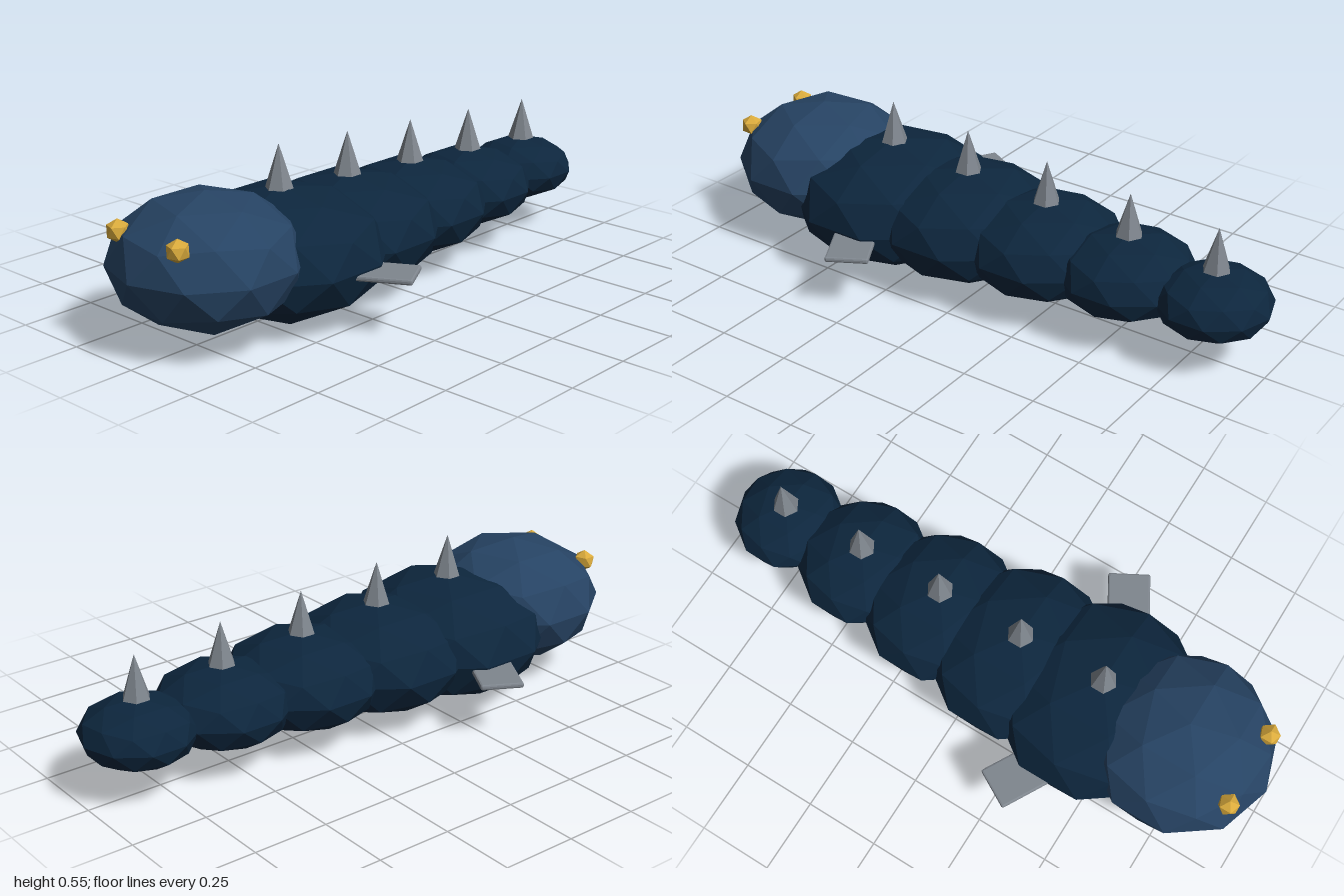
import * as THREE from 'three';
import { RoundedBoxGeometry } from 'three/addons/geometries/RoundedBoxGeometry.js';

const flat = (name, color) => {
  const m = new THREE.MeshStandardMaterial({ color, flatShading: true });
  m.name = name;
  return m;
};

// Icosphere turned so that one of its corners is the top pole
function icoBall(detail, rx, ry, rz) {
  const g = new THREE.IcosahedronGeometry(1, detail);
  g.rotateZ(-Math.atan(2 / (1 + Math.sqrt(5))));
  g.scale(rx, ry, rz);
  return g;
}

export function createModel() {
  const group = new THREE.Group();
  const headBlue = flat('headBlue', 0x264363);
  const bodyNavy = flat('bodyNavy', 0x0d263d);
  const boneGrey = flat('boneGrey', 0x7f868e);
  const eyeGold = flat('eyeGold', 0xd9aa3c);

  const add = (name, geometry, material, x, y, z) => {
    const mesh = new THREE.Mesh(geometry, material);
    mesh.name = name;
    mesh.position.set(x, y, z);
    group.add(mesh);
    return mesh;
  };

  // Head
  add('head', icoBall(1, 0.3, 0.21, 0.3), headBlue, 0, 0.26, 0.7);

  // Tapering body segments, each with a six-sided back spike
  for (let i = 0; i < 5; i++) {
    const r = 0.342 - 0.0394 * i;
    const z = 0.397 - 0.303 * i;
    add(`bodySegment${i + 1}`, icoBall(1, r, 0.207 - 0.0252 * i, r), bodyNavy, 0, 0.208, z);
    add(`backSpike${i + 1}`, new THREE.ConeGeometry(0.045, 0.14, 6), boneGrey, 0, 0.477 - 0.023 * i, z);
  }

  // Eyes and swept-back fins, mirrored
  for (const [side, s] of [['left', 1], ['right', -1]]) {
    add(`${side}Eye`, icoBall(0, 0.037, 0.037, 0.037), eyeGold, s * 0.13, 0.372, 0.92);
    const fin = add(`${side}Fin`, new RoundedBoxGeometry(0.25, 0.018, 0.14, 1, 0.006), boneGrey, s * 0.325, 0.193, 0.317);
    fin.rotation.y = s * 0.51;
  }

  return group;
}
